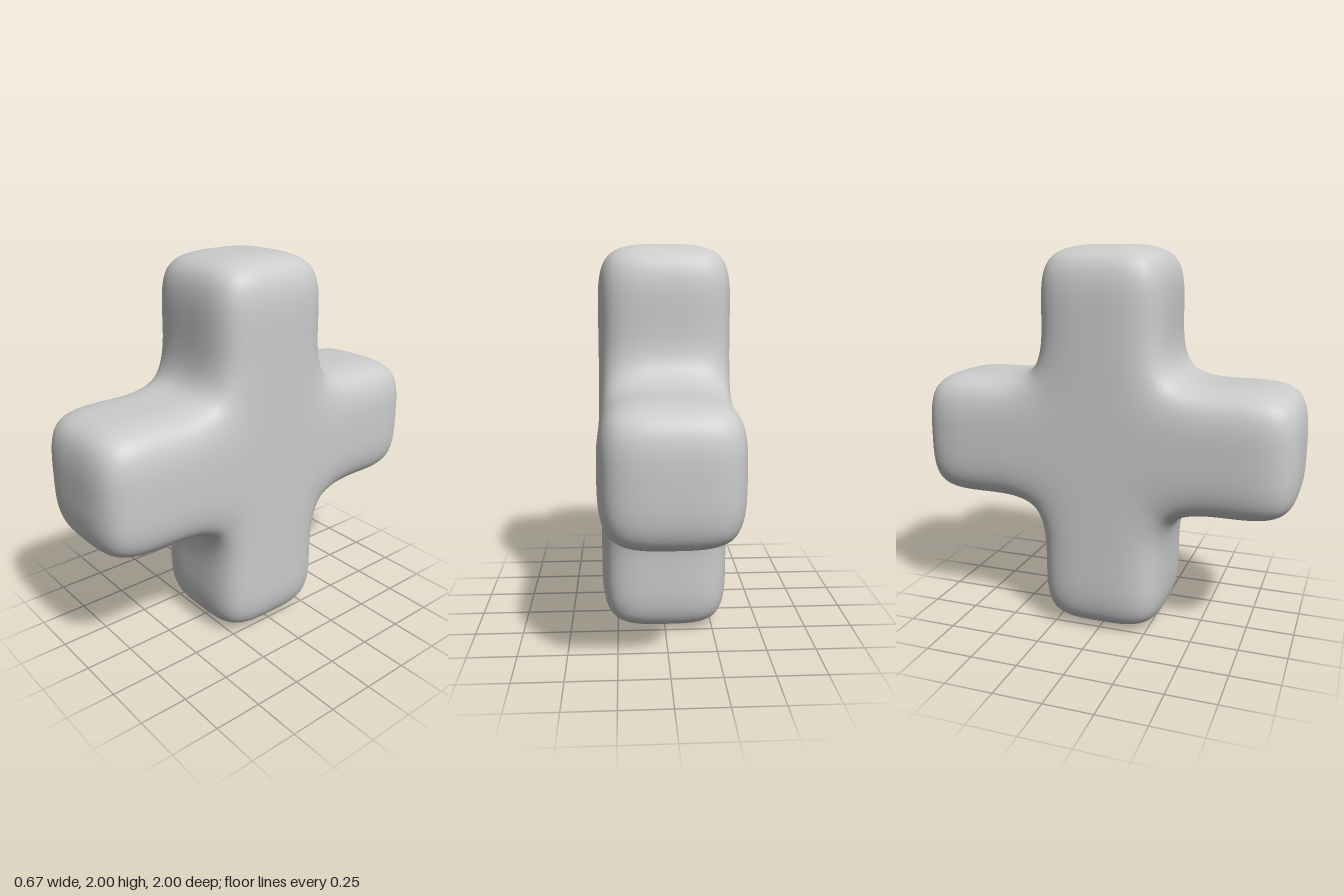
import * as THREE from 'three';

const CELL = 1 / 3; // each arm is two cells wide and two cells long

// Cells of the cross: a vertical bar and a z bar, two cells thick in x
function filled([x, y, z]) {
  const inside = (v, n) => v >= -n && v < n;
  return inside(x, 1) && ((inside(y, 3) && inside(z, 1)) || (inside(y, 1) && inside(z, 3)));
}

// Quad cage around the outside of the filled cells
function buildCage() {
  const points = [], quads = [], lookup = new Map();
  const pointIndex = (p) => {
    const key = p.join();
    if (!lookup.has(key)) {
      lookup.set(key, points.length);
      points.push(new THREE.Vector3(...p).multiplyScalar(CELL));
    }
    return lookup.get(key);
  };
  for (let x = -1; x < 1; x++) for (let y = -3; y < 3; y++) for (let z = -3; z < 3; z++) {
    const cell = [x, y, z];
    if (!filled(cell)) continue;
    for (let axis = 0; axis < 3; axis++) for (const side of [-1, 1]) {
      const next = [...cell];
      next[axis] += side;
      if (filled(next)) continue;
      const quad = [[0, 0], [1, 0], [1, 1], [0, 1]].map(([a, b]) => {
        const p = [...cell];
        p[axis] += side > 0 ? 1 : 0;
        p[(axis + 1) % 3] += a;
        p[(axis + 2) % 3] += b;
        return pointIndex(p);
      });
      quads.push(side > 0 ? quad : quad.reverse());
    }
  }
  return { points, quads };
}

// One Catmull-Clark step on a closed quad mesh
function subdivide({ points, quads }) {
  const edges = new Map();
  const around = points.map(() => ({ faceSum: new THREE.Vector3(), edgeSum: new THREE.Vector3(), n: 0 }));
  const out = points.map((p) => p.clone());
  const newQuads = [];

  const centres = quads.map((q) => {
    const c = new THREE.Vector3();
    q.forEach((i) => c.addScaledVector(points[i], 0.25));
    q.forEach((i, k) => {
      around[i].faceSum.add(c);
      around[i].n++;
      const j = q[(k + 1) % 4];
      const key = i < j ? `${i},${j}` : `${j},${i}`;
      if (!edges.has(key)) {
        edges.set(key, out.length);
        const mid = points[i].clone().add(points[j]).multiplyScalar(0.5);
        around[i].edgeSum.add(mid);
        around[j].edgeSum.add(mid);
        out.push(mid.multiplyScalar(0.5));
      }
      out[edges.get(key)].addScaledVector(c, 0.25);
    });
    return c;
  });

  points.forEach((p, i) => {
    const { faceSum, edgeSum, n } = around[i];
    out[i].multiplyScalar((n - 3) / n)
      .addScaledVector(faceSum, 1 / (n * n))
      .addScaledVector(edgeSum, 2 / (n * n));
  });

  quads.forEach((q, f) => {
    const centre = out.push(centres[f]) - 1;
    const mids = q.map((i, k) => {
      const j = q[(k + 1) % 4];
      return edges.get(i < j ? `${i},${j}` : `${j},${i}`);
    });
    q.forEach((i, k) => newQuads.push([i, mids[k], centre, mids[(k + 3) % 4]]));
  });
  return { points: out, quads: newQuads };
}

export function createModel() {
  let surface = buildCage();
  for (let level = 0; level < 4; level++) surface = subdivide(surface);

  const geometry = new THREE.BufferGeometry().setFromPoints(surface.points);
  geometry.setIndex(surface.quads.flatMap(([a, b, c, d]) => [a, b, c, a, c, d]));
  geometry.computeVertexNormals();

  // Soft four-armed cross, one continuous skin
  const cross = new THREE.Mesh(geometry, new THREE.MeshStandardMaterial({ color: 0xcccccc }));
  cross.name = 'roundedCross';
  cross.position.y = 1;

  const group = new THREE.Group();
  group.name = 'softCross';
  group.add(cross);
  return group;
}
